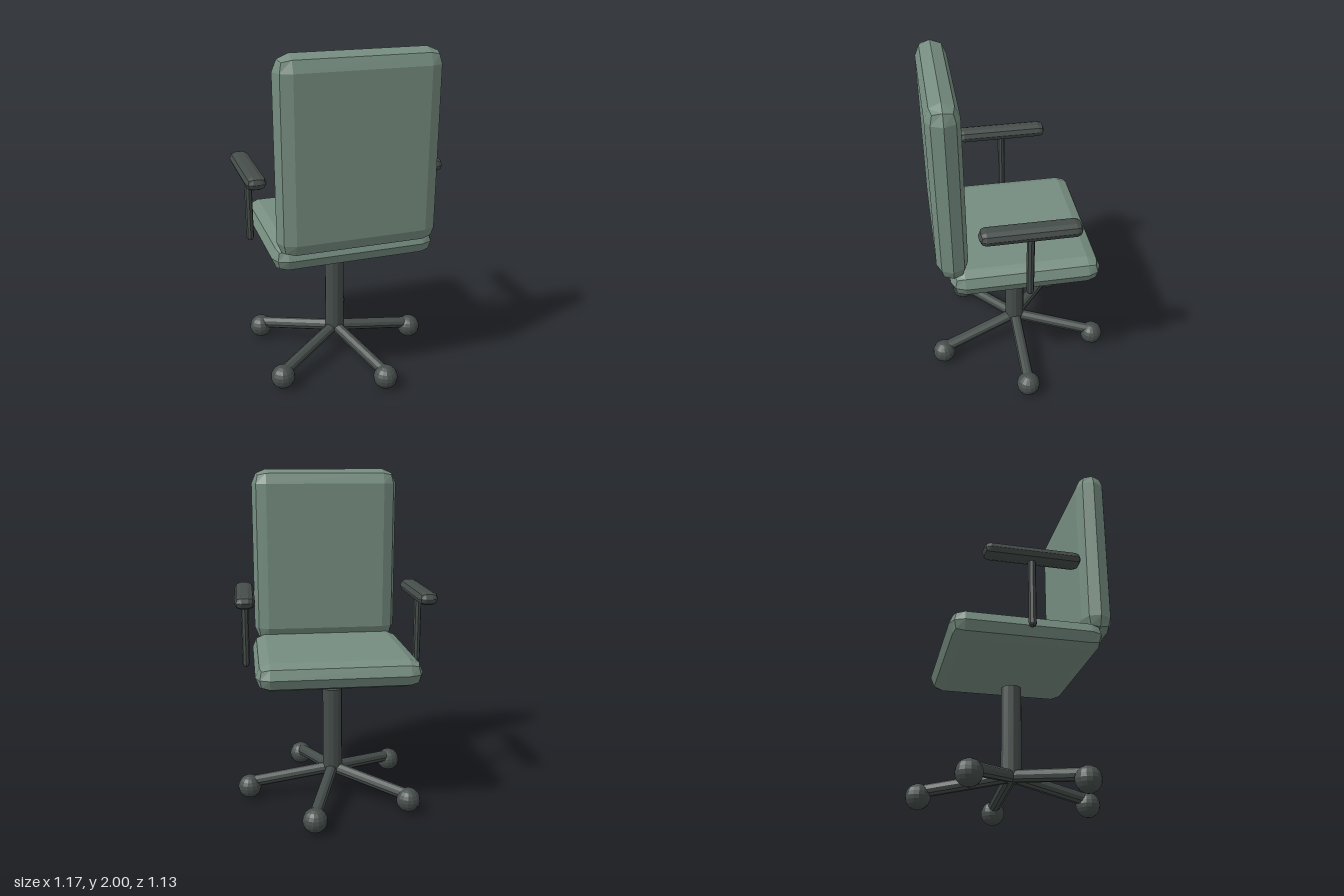
import * as THREE from 'three';
import { RoundedBoxGeometry } from 'three/addons/geometries/RoundedBoxGeometry.js';

const CX = -0.01; // the whole chair sits slightly off the origin

export function createModel() {
  const chair = new THREE.Group();
  chair.name = 'officeChair';
  const fabric = new THREE.MeshStandardMaterial({ color: 0x768d80, flatShading: true });
  const dark = new THREE.MeshStandardMaterial({ color: 0x454d4a, flatShading: true });

  const add = (name, geometry, material, x, y, z) => {
    const mesh = new THREE.Mesh(geometry, material);
    mesh.name = name;
    mesh.position.set(CX + x, y, z);
    chair.add(mesh);
    return mesh;
  };

  // Box with two bevel facets per edge
  const padded = (w, h, d, r) => new RoundedBoxGeometry(w, h, d, 1, r);

  // Cushions
  add('seat', padded(0.95, 0.16, 0.865, 0.08), fabric, 0, 0.88, 0);
  add('backrest', padded(0.915, 1.09, 0.178, 0.089), fabric, 0, 1.455, 0.414);

  // Armrests on thin posts
  for (const side of [-1, 1]) {
    const label = side > 0 ? 'left' : 'right';
    add(label + 'ArmPad', padded(0.116, 0.077, 0.555, 0.038), dark, side * 0.521, 1.283, 0);
    add(label + 'ArmPost', padded(0.044, 0.44, 0.044, 0.022), dark, side * 0.521, 1.065, 0);
  }

  // Central column
  add('column', new THREE.CylinderGeometry(0.06, 0.06, 0.52, 12), dark, 0, 0.435, 0);

  // Five sloping legs, each ending in a ball caster
  const up = new THREE.Vector3(0, 1, 0);
  for (let i = 0; i < 5; i++) {
    const a = (i / 5) * Math.PI * 2;
    const start = new THREE.Vector3(0, 0.175, 0);
    const end = new THREE.Vector3(Math.cos(a) * 0.52, 0.098, Math.sin(a) * 0.52);
    const dir = end.clone().sub(start);
    const mid = start.clone().add(end).multiplyScalar(0.5);
    const leg = add('leg' + (i + 1), new THREE.CylinderGeometry(0.036, 0.036, dir.length(), 10), dark, mid.x, mid.y, mid.z);
    leg.quaternion.setFromUnitVectors(up, dir.normalize());
    add('caster' + (i + 1), new THREE.SphereGeometry(0.072, 14, 10), dark, end.x, 0.072, end.z);
  }

  return chair;
}
